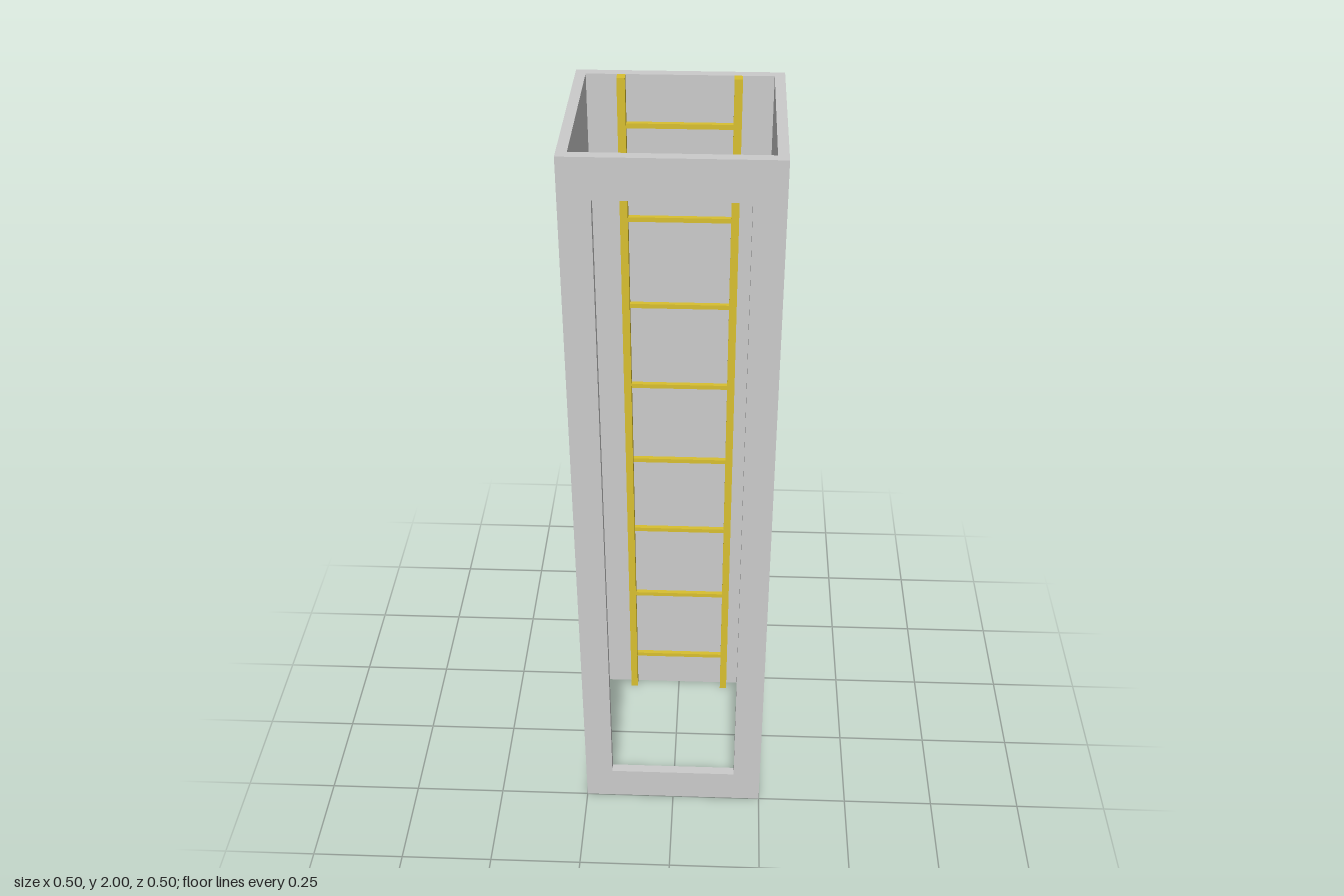
import * as THREE from 'three';

const H = 2, HALF = 0.25, WALL = 0.025;
const INNER = HALF - WALL;

export function createModel() {
  const group = new THREE.Group();
  const grey = new THREE.MeshStandardMaterial({ color: 0xcccccc, flatShading: true });
  const yellow = new THREE.MeshStandardMaterial({ color: 0xd8bf30, flatShading: true });

  const add = (parent, name, geometry, material) => {
    const mesh = new THREE.Mesh(geometry, material);
    mesh.name = name;
    parent.add(mesh);
    return mesh;
  };
  const box = (parent, name, material, w, h, d, x, y, z) =>
    add(parent, name, new THREE.BoxGeometry(w, h, d), material).position.set(x, y, z);

  // Back and side walls: a U-shaped plan raised to full height (plan y becomes -z)
  const plan = new THREE.Shape([
    [-HALF, -INNER], [-INNER, -INNER], [-INNER, INNER], [INNER, INNER],
    [INNER, -INNER], [HALF, -INNER], [HALF, HALF], [-HALF, HALF],
  ].map(([x, y]) => new THREE.Vector2(x, y)));
  const walls = new THREE.ExtrudeGeometry(plan, { depth: H, bevelEnabled: false });
  add(group, 'shaftWalls', walls.rotateX(-Math.PI / 2), grey);

  // Front wall with its tall opening
  const rect = (x, y0, y1) =>
    [[-x, y0], [x, y0], [x, y1], [-x, y1]].map(([a, b]) => new THREE.Vector2(a, b));
  const front = new THREE.Shape(rect(HALF, 0, H));
  front.holes.push(new THREE.Path(rect(0.175, 0.1, 1.9)));
  const frontWall = new THREE.ExtrudeGeometry(front, { depth: WALL, bevelEnabled: false });
  add(group, 'frontWall', frontWall.translate(0, 0, INNER), grey);

  // Ladder against the back wall
  const ladder = new THREE.Group();
  ladder.name = 'ladder';
  group.add(ladder);
  for (const side of [-1, 1]) {
    box(ladder, side > 0 ? 'leftRail' : 'rightRail', yellow,
      0.02, H, 0.025, side * 0.14, H / 2, -INNER + 0.0125);
  }
  for (let i = 0; i < 8; i++) {
    box(ladder, `rung${i + 1}`, yellow,
      0.26, 0.0125, 0.0125, 0, 0.125 + i * 0.25, -INNER + 0.00625);
  }
  return group;
}
